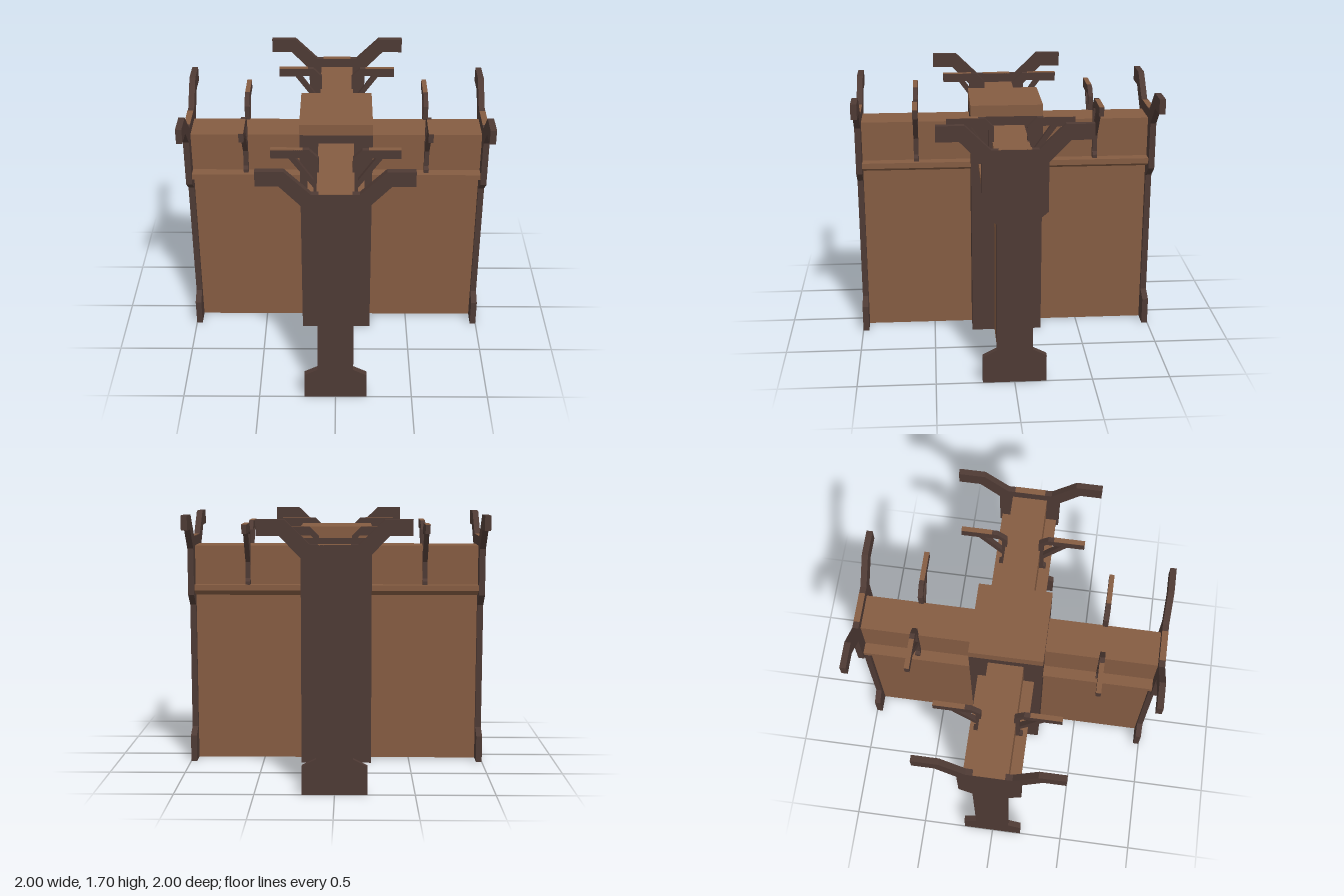
import * as THREE from 'three';

const brown = new THREE.MeshStandardMaterial({ color: 0x855c42 });
brown.name = 'warm brown wood';
const dark = new THREE.MeshStandardMaterial({ color: 0x4e3a34 });
dark.name = 'dark brown timber';

function mesh(name, geometry, material) {
  const m = new THREE.Mesh(geometry, material);
  m.name = name;
  return m;
}

function box(name, w, h, d, x, y, z, material) {
  const m = mesh(name, new THREE.BoxGeometry(w, h, d), material);
  m.position.set(x, y, z);
  return m;
}

// Flat outline extruded along z from z0 to z1
function slab(name, points, z0, z1, material, hole) {
  const toV = (p) => new THREE.Vector2(p[0], p[1]);
  const shape = new THREE.Shape(points.map(toV));
  if (hole) shape.holes.push(new THREE.Path(hole.map(toV)));
  const g = new THREE.ExtrudeGeometry(shape, { depth: z1 - z0, bevelEnabled: false });
  g.translate(0, 0, z0);
  return mesh(name, g, material);
}

// Completes a right-hand half outline with its mirror image
const mirrored = (half) => [...half, ...half.map(([x, y]) => [-x, y]).reverse()];

// Cross-section of a wall: thin below, sloped ledge, thicker above
const wallProfile = mirrored([
  [0.085, 0], [0.085, 1.14], [0.115, 1.145], [0.187, 1.18], [0.187, 1.217],
  [0.115, 1.217], [0.115, 1.48],
]);

// End panel: wide foot, narrow waist, shoulders and two branching horns
const panelProfile = mirrored([
  [0.203, 0], [0.203, 0.18], [0.115, 0.225], [0.115, 1.075], [0.203, 1.15],
  [0.203, 1.465], [0.333, 1.6], [0.473, 1.6], [0.473, 1.698], [0.302, 1.698],
  [0.145, 1.545],
]);

// Small bracket standing on the ledge, with a triangular opening
const bracketProfile = [
  [0.105, 1.217], [0.16, 1.217], [0.16, 1.24], [0.14, 1.26], [0.14, 1.37],
  [0.29, 1.575], [0.403, 1.575], [0.403, 1.635], [0.165, 1.635], [0.105, 1.575],
];
const bracketHole = [[0.138, 1.42], [0.138, 1.56], [0.155, 1.58], [0.25, 1.58]];

function createArm() {
  const arm = new THREE.Group();
  arm.name = 'arm';
  arm.add(slab('wall', wallProfile, 0.2, 0.96, brown));
  arm.add(slab('endPanel', panelProfile, 0.96, 1, dark));
  arm.add(box('endPanelTop', 0.2, 0.004, 0.04, 0, 1.546, 0.98, brown));

  for (const side of [1, -1]) {
    const bracket = new THREE.Group();
    bracket.name = side > 0 ? 'leftBracket' : 'rightBracket';
    bracket.add(slab('bracketFrame', bracketProfile, -0.016, 0.016, dark, bracketHole));
    bracket.add(box('bracketTop', 0.2, 0.004, 0.032, 0.303, 1.636, 0, brown));
    bracket.position.z = 0.6;
    if (side < 0) bracket.rotation.y = Math.PI;
    arm.add(bracket);
  }
  return arm;
}

export function createModel() {
  const model = new THREE.Group();
  model.name = 'crossShapedPartition';

  // Central column with a lighter cap
  model.add(box('column', 0.476, 1.54, 0.476, 0, 0.77, 0, dark));
  model.add(box('columnCap', 0.476, 0.075, 0.476, 0, 1.5775, 0, brown));

  // Four identical arms
  for (let i = 0; i < 4; i++) {
    const arm = createArm();
    arm.rotation.y = (i * Math.PI) / 2;
    model.add(arm);
  }
  return model;
}
